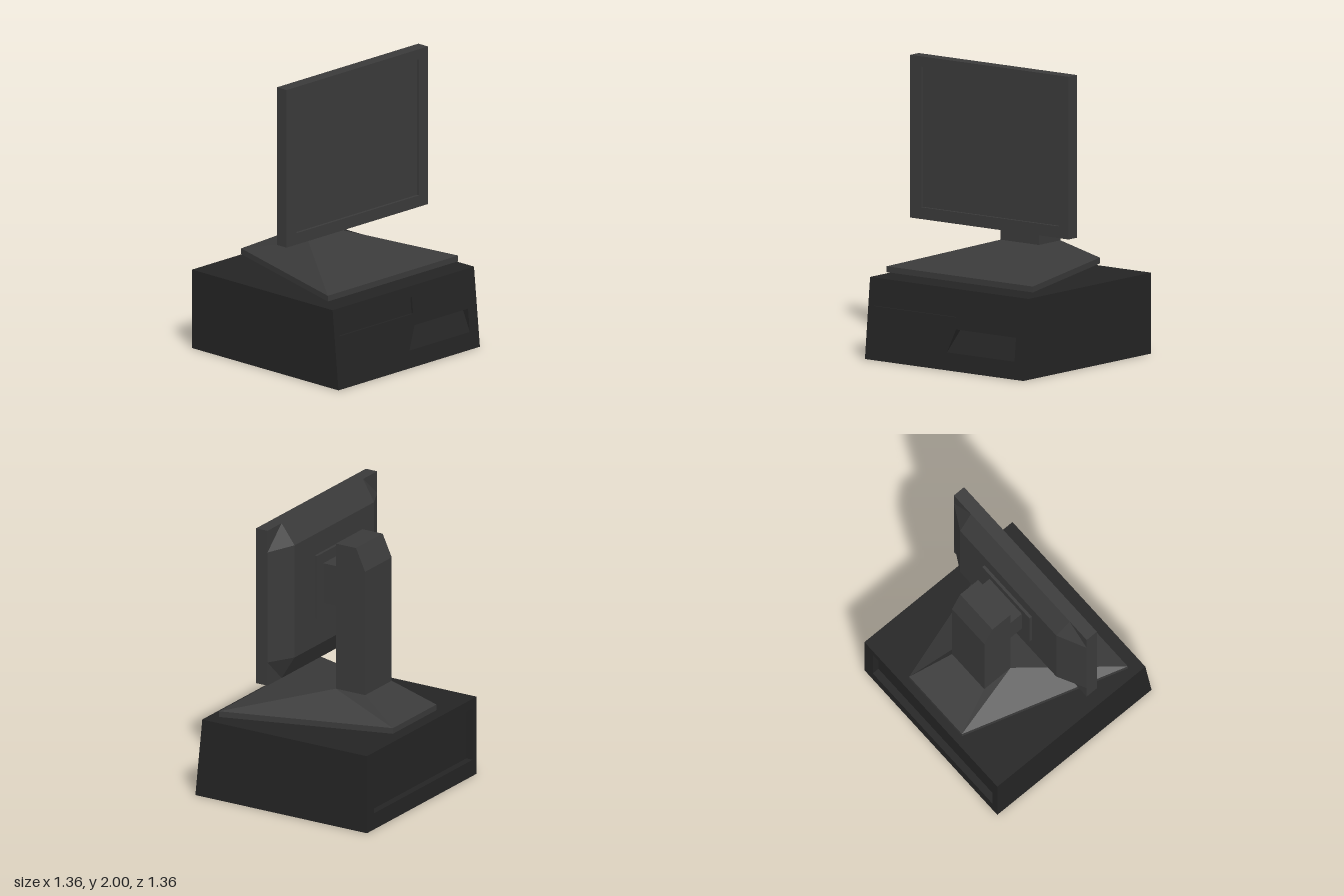
import * as THREE from 'three';
import { mergeGeometries } from 'three/addons/utils/BufferGeometryUtils.js';

const darkGrey = new THREE.MeshStandardMaterial({ color: 0x3a3a3a, flatShading: true });
const black = new THREE.MeshStandardMaterial({ color: 0x242424, flatShading: true });

// Counter-clockwise rectangle in x, y
const rect = (x0, x1, y0, y1) => [[x0, y0], [x1, y0], [x1, y1], [x0, y1]];

// Places a 2D outline at a depth given by a rule of y
const place = (outline, z) => outline.map(([x, y]) => [x, y, z(y)]);
const at = (z) => () => z;

// Band of quads between two closed loops; mirrored lists quads split along the other diagonal
function loft(a, b, mirrored = []) {
  const pos = [];
  a.forEach((a0, i) => {
    const j = (i + 1) % a.length;
    const [a1, b0, b1] = [a[j], b[i], b[j]];
    const corners = mirrored.includes(i) ? [a0, a1, b0, a1, b1, b0] : [a0, a1, b1, a0, b1, b0];
    pos.push(...corners.flat());
  });
  const g = new THREE.BufferGeometry();
  g.setAttribute('position', new THREE.Float32BufferAttribute(pos, 3));
  g.computeVertexNormals();
  return g;
}

// Flat panel with holes, facing +z, or -z when backward
function panel(outline, holes, z, backward = false) {
  const toPoints = (o) => o.map(([x, y]) => new THREE.Vector2(x, y));
  const shape = new THREE.Shape(toPoints(outline));
  holes.forEach((h) => shape.holes.push(new THREE.Path(toPoints(h))));
  let g = new THREE.ShapeGeometry(shape);
  if (backward) g.setIndex(Array.from(g.index.array).reverse());
  g = g.toNonIndexed();
  g.deleteAttribute('uv');
  const p = g.attributes.position;
  for (let i = 0; i < p.count; i++) p.setZ(i, z(p.getY(i)));
  g.computeVertexNormals();
  return g;
}

// Walls and floor of a sunken area
function recess(outline, zOuter, zInner, backward = false) {
  const loop = backward ? [...outline].reverse() : outline;
  return mergeGeometries([
    loft(place(loop, zOuter), place(loop, zInner)),
    panel(outline, [], zInner, backward),
  ]);
}

function add(parent, name, geometry, material) {
  const mesh = new THREE.Mesh(geometry, material);
  mesh.name = name;
  parent.add(mesh);
  return mesh;
}

function box(x0, x1, y0, y1, z0, z1) {
  return new THREE.BoxGeometry(x1 - x0, y1 - y0, z1 - z0)
    .translate((x0 + x1) / 2, (y0 + y1) / 2, (z0 + z1) / 2);
}

function buildCase() {
  const group = new THREE.Group();
  group.name = 'computerCase';
  const outline = rect(-0.68, 0.68, 0, 0.55);
  const front = (y) => 0.683 - 0.1 * y;
  const back = at(-0.68);

  const drive = rect(-0.635, 0.075, 0.36, 0.475);
  const vent = [[0.015, 0.12], [0.595, 0.12], [0.595, 0.28], [0.08, 0.28]];
  const ports = rect(-0.63, 0.595, 0.115, 0.48);

  add(group, 'caseShell', mergeGeometries([
    loft(place(outline, back), place(outline, front)),
    panel(outline, [drive, vent], front),
    panel(outline, [ports], back, true),
  ]), black);
  add(group, 'driveSlot', recess(drive, front, (y) => front(y) - 0.015), black);
  // The scoop starts flush at its lower edge and deepens upward
  add(group, 'frontScoop', recess(vent, front, (y) => front(0.12) - (y - 0.12) * 0.45), black);
  add(group, 'rearPortRecess', recess(ports, back, at(-0.63), true), black);
  return group;
}

function buildStand() {
  const group = new THREE.Group();
  group.name = 'stand';
  const x0 = -0.155, x1 = 0.175;

  // Trapezoid foot rising to the column
  const foot = (y) => [[-0.62, y, 0.525], [0.635, y, 0.525], [0.28, y, -0.63], [-0.26, y, -0.63]];
  const neck = [[x0, 0.76, -0.11], [x1, 0.76, -0.11], [x1, 0.76, -0.342], [x0, 0.76, -0.342]];
  const low = foot(0.575);
  const underside = loft([...low].reverse(), low.map(() => [0.0075, 0.575, -0.05]));
  add(group, 'standFoot', mergeGeometries([
    loft(low, foot(0.615)),
    loft(foot(0.615), neck, [1]),
    underside,
  ]), darkGrey);

  // Column with a chamfered upper back edge, profile in z, y
  const profile = [[-0.342, 0.75], [-0.11, 0.75], [-0.11, 1.795], [-0.27, 1.795], [-0.342, 1.64]];
  const column = new THREE.ExtrudeGeometry(
    new THREE.Shape(profile.map(([z, y]) => new THREE.Vector2(z, y))),
    { depth: x1 - x0, bevelEnabled: false },
  ).rotateY(-Math.PI / 2).translate(x1, 0, 0);
  add(group, 'standColumn', column, darkGrey);
  add(group, 'mountArm', box(x0, x1, 1.35, 1.635, -0.112, -0.005), darkGrey);
  add(group, 'mountPlate', box(-0.235, 0.25, 1.26, 1.71, -0.01, 0.012), darkGrey);
  return group;
}

function buildMonitor() {
  const group = new THREE.Group();
  group.name = 'monitor';
  const outline = rect(-0.68, 0.68, 0.895, 2);
  const screen = rect(-0.585, 0.595, 0.975, 1.93);

  add(group, 'bezel', mergeGeometries([
    loft(place(outline, at(0.11)), place(outline, at(0.2))),
    panel(outline, [screen], at(0.2)),
    panel(outline, [], at(0.11), true),
  ]), darkGrey);
  add(group, 'screen', recess(screen, at(0.2), at(0.18)), darkGrey);

  // Rear cover: cut-corner outline tapering to a flat rectangle
  const cut = [
    [-0.68, 1.06], [-0.505, 0.895], [0.505, 0.895], [0.68, 1.06],
    [0.68, 1.845], [0.505, 2], [-0.505, 2], [-0.68, 1.845],
  ];
  const flat = rect(-0.485, 0.5, 1.06, 1.86);
  const doubled = flat.flatMap((p) => [p, p]);
  add(group, 'rearCover', mergeGeometries([
    loft(place(doubled, at(0.01)), place(cut, at(0.11))),
    panel(flat, [], at(0.01), true),
  ]), darkGrey);
  return group;
}

export function createModel() {
  const model = new THREE.Group();
  model.name = 'desktopComputer';
  model.add(buildCase(), buildStand(), buildMonitor());
  return model;
}
